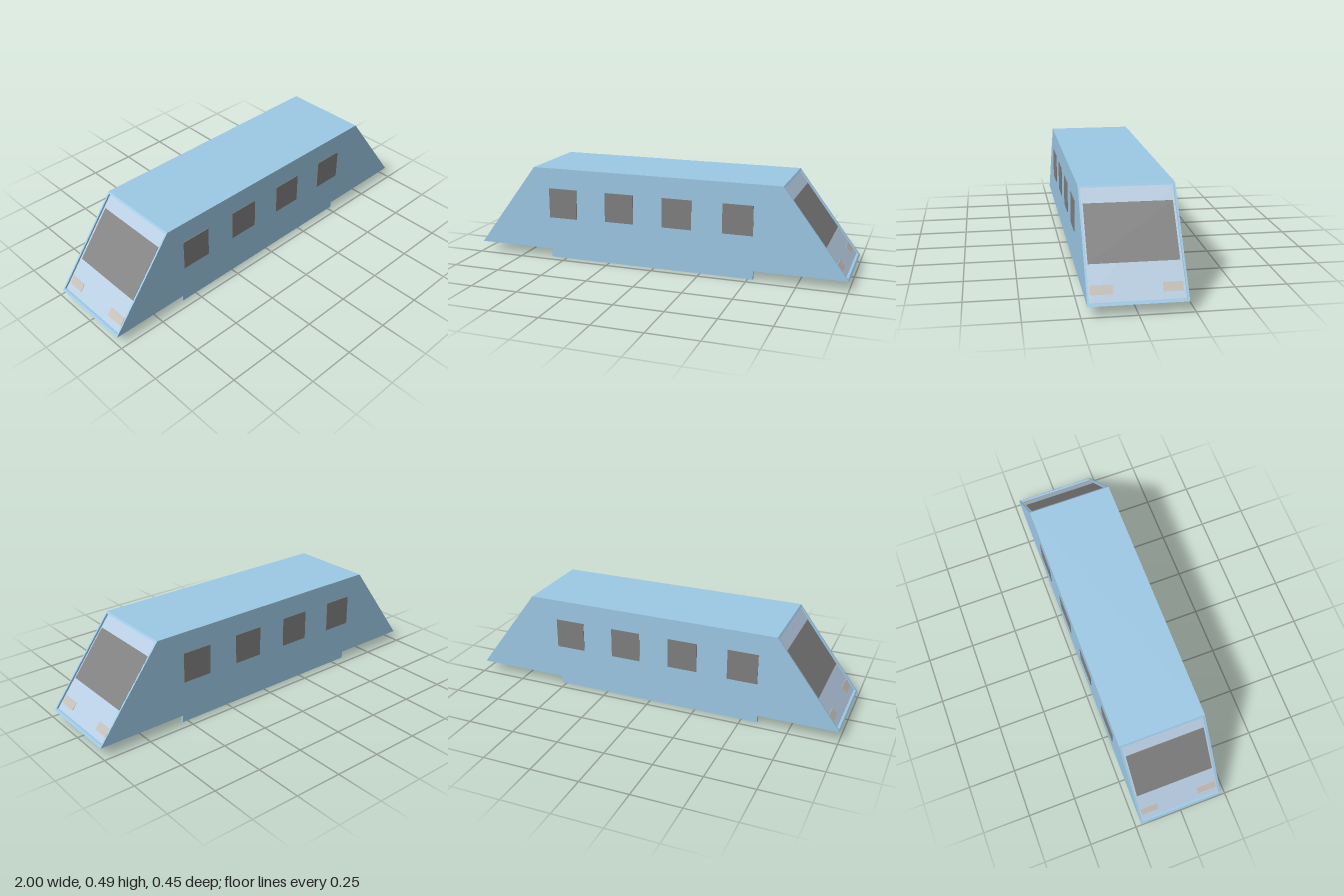
import * as THREE from 'three';

const paint = (color) => new THREE.MeshStandardMaterial({ color });
const BLUE = paint(0x9cc8e4);
const PALE = paint(0xb8cde2);
const GLASS = paint(0x7f7f7f);
const LAMP = paint(0xc4bdb6);

// Floor and roof heights, and half the width of the hull
const Y0 = 0.05, Y1 = 0.492, HALF = 0.222;

// x of the raked end face at height y
const endX = (y) => 1 - (y - Y0) * (0.333 / (Y1 - Y0));

function add(parent, name, geometry, material) {
  const mesh = new THREE.Mesh(geometry, material);
  mesh.name = name;
  parent.add(mesh);
}

// Box given by its limits on each axis
function block(x0, x1, y0, y1, z0, z1) {
  return new THREE.BoxGeometry(x1 - x0, y1 - y0, z1 - z0)
    .translate((x0 + x1) / 2, (y0 + y1) / 2, (z0 + z1) / 2);
}

function rectangle(PathType, x, y0, y1) {
  return new PathType([[-x, y0], [x, y0], [x, y1], [-x, y1]].map((p) => new THREE.Vector2(...p)));
}

// Square tube along x, both ends cut to the rake
function hullGeometry() {
  const shape = rectangle(THREE.Shape, HALF, Y0, Y1);
  shape.holes.push(rectangle(THREE.Path, 0.213, 0.059, 0.483));
  const g = new THREE.ExtrudeGeometry(shape, { depth: 2, bevelEnabled: false });
  g.translate(0, 0, -1).rotateY(Math.PI / 2);
  const p = g.attributes.position;
  for (let i = 0; i < p.count; i++) p.setX(i, Math.sign(p.getX(i)) * endX(p.getY(i)));
  g.computeVertexNormals();
  return g;
}

// Thin plate leaning with the end face, set back from it by inset
function rakedPlate(side, y0, y1, z0, z1, inset) {
  const t = 0.008;
  const g = block(-t / 2, t / 2, y0, y1, z0, z1);
  const p = g.attributes.position;
  for (let i = 0; i < p.count; i++) {
    p.setX(i, p.getX(i) + side * (endX(p.getY(i)) - inset - t / 2));
  }
  g.computeVertexNormals();
  return g;
}

export function createModel() {
  const model = new THREE.Group();
  model.name = 'railCar';
  add(model, 'hull', hullGeometry(), BLUE);

  // Recessed ends with windscreen and lamps
  for (const side of [1, -1]) {
    const end = new THREE.Group();
    end.name = side > 0 ? 'leftEnd' : 'rightEnd';
    add(end, 'endPanel', rakedPlate(side, 0.059, 0.483, -0.213, 0.213, 0.012), PALE);
    add(end, 'windscreen', rakedPlate(side, 0.197, 0.42, -0.203, 0.205, 0.01), GLASS);
    add(end, 'lampFront', rakedPlate(side, 0.087, 0.12, 0.105, 0.205, 0.01), LAMP);
    add(end, 'lampBack', rakedPlate(side, 0.087, 0.12, -0.203, -0.115, 0.01), LAMP);
    model.add(end);
  }

  // Side windows, standing slightly proud of the hull
  const starts = [-0.58, -0.263, 0.05, 0.368];
  starts.forEach((x, i) => {
    const y = i === 0 ? 0.226 : 0.23;
    add(model, 'windowFront', block(x, x + 0.157, y, 0.384, 0.215, i === 0 ? 0.227 : 0.225), GLASS);
    add(model, 'windowBack', block(x, x + 0.157, y, 0.384, -0.225, -0.215), GLASS);
  });

  // Runners under the floor
  add(model, 'runnerFront', block(-0.584, 0.526, 0, 0.052, 0.193, 0.206), BLUE);
  add(model, 'runnerBack', block(-0.584, 0.526, 0, 0.052, -0.203, -0.187), BLUE);
  return model;
}
